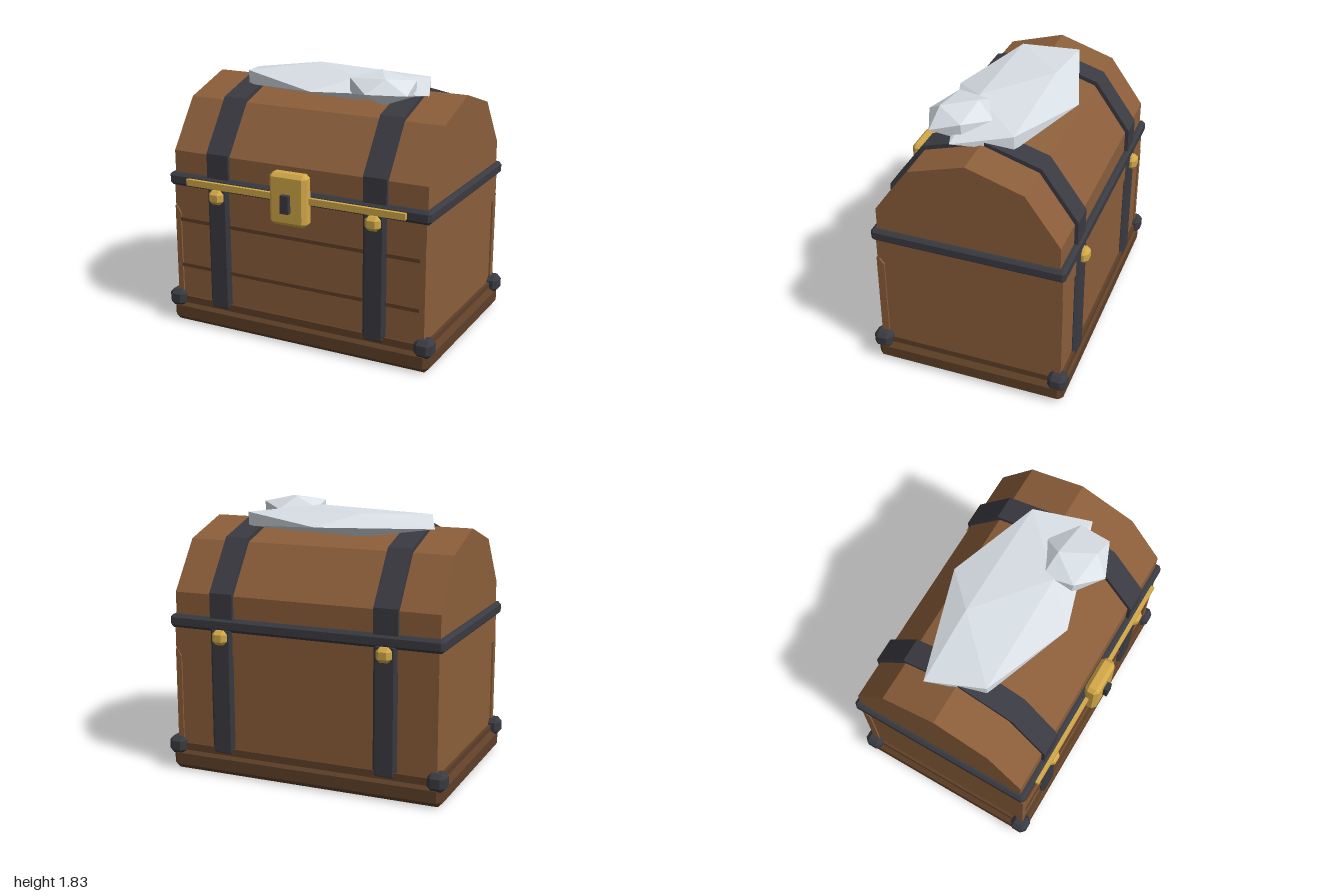
import * as THREE from 'three';
import { ConvexGeometry } from 'three/addons/geometries/ConvexGeometry.js';

const CZ = -0.035; // chest centre in depth

function mat(name, color) {
  const m = new THREE.MeshStandardMaterial({ color, flatShading: true });
  m.name = name;
  return m;
}

// Box given by its extents, with all edges chamfered by c
function chamferBox(x0, x1, y0, y1, z0, z1, c) {
  const h = [(x1 - x0) / 2, (y1 - y0) / 2, (z1 - z0) / 2];
  const pts = [];
  for (const sx of [-1, 1]) for (const sy of [-1, 1]) for (const sz of [-1, 1]) {
    for (let k = 0; k < 3; k++) {
      const d = h.map((v, i) => (i === k ? v : v - c));
      pts.push(new THREE.Vector3(sx * d[0], sy * d[1], sz * d[2]));
    }
  }
  return new ConvexGeometry(pts).translate((x0 + x1) / 2, (y0 + y1) / 2, (z0 + z1) / 2);
}

function box(x0, x1, y0, y1, z0, z1) {
  return new THREE.BoxGeometry(x1 - x0, y1 - y0, z1 - z0)
    .translate((x0 + x1) / 2, (y0 + y1) / 2, (z0 + z1) / 2);
}

// Faceted arch profile (half depth, height) extruded across x
function arch(half, x, width) {
  const s = new THREE.Shape();
  half.forEach(([z, y], i) => (i ? s.lineTo(-z, y) : s.moveTo(-z, y)));
  [...half].reverse().forEach(([z, y]) => { if (z > 0) s.lineTo(z, y); });
  const g = new THREE.ExtrudeGeometry(s, { depth: width, bevelEnabled: false });
  return g.rotateY(Math.PI / 2).translate(x - width / 2, 0, CZ);
}

// Twenty-sided lump whose poles lie along z
function lump(sx, sy, sz) {
  const pts = [new THREE.Vector3(0, 0, sz), new THREE.Vector3(0, 0, -sz)];
  for (const side of [-1, 1]) for (let i = 0; i < 5; i++) {
    const a = (i * 2 * Math.PI) / 5;
    pts.push(new THREE.Vector3(side * 0.8944 * Math.cos(a) * sx, 0.8944 * Math.sin(a) * sy, side * 0.4472 * sz));
  }
  return new ConvexGeometry(pts);
}

export function createModel() {
  const root = new THREE.Group();
  root.name = 'chest';
  const wood = mat('wood', 0x8b5e3a);
  const darkWood = mat('dark wood', 0x5f4028);
  const iron = mat('iron', 0x3a3a42);
  const gold = mat('gold', 0xd2a848);
  const snow = mat('snow', 0xd9e0e6);

  const add = (name, geo, m) => {
    const mesh = new THREE.Mesh(geo, m);
    mesh.name = name;
    root.add(mesh);
    return mesh;
  };

  // Stepped base
  add('base', chamferBox(-0.977, 0.977, 0, 0.15, -0.7, 0.632, 0.035), darkWood);
  add('baseMoulding', box(-0.945, 0.945, 0.14, 0.19, -0.685, 0.612), darkWood);

  // Body with corner posts that taper off below the rim
  add('body', box(-0.925, 0.925, 0.15, 1.02, -0.665, 0.593), wood);
  for (const sx of [-1, 1]) for (const sz of [-1, 1]) {
    const pts = [];
    for (const [y, w, d] of [[0.16, 0.04, 0.05], [0.8, 0.04, 0.05], [0.85, 0.008, 0.012]]) {
      for (const a of [0, 1]) for (const b of [0, 1]) {
        pts.push(new THREE.Vector3(sx * (0.938 - a * w), y, CZ + sz * (0.64 - b * d)));
      }
    }
    add('cornerPost', new ConvexGeometry(pts), wood);
    const z = CZ + sz * 0.623;
    add('cornerBlock', chamferBox(sx * 0.9375 - 0.0625, sx * 0.9375 + 0.0625, 0.11, 0.232, z - 0.0625, z + 0.0625, 0.03), iron);
  }
  add('upperBody', box(-0.937, 0.937, 0.845, 1.02, -0.672, 0.598), wood);

  // Thin slats across the front
  for (const y of [0.42, 0.755]) {
    add('frontSlat', box(-0.9, 0.9, y - 0.013, y + 0.013, 0.59, 0.604), darkWood);
  }

  // Rim and lid
  add('rim', chamferBox(-0.97, 0.97, 1.0, 1.09, -0.692, 0.622, 0.02), iron);
  add('lid', arch([[0.618, 1.05], [0.618, 1.24], [0.382, 1.57], [0, 1.69]], 0, 1.874), wood);

  // Straps and their clasps
  for (const sx of [-1, 1]) {
    const x = sx * 0.583;
    add('lidStrap', arch([[0.642, 1.05], [0.642, 1.255], [0.397, 1.597], [0, 1.715]], x, 0.165), iron);
    add('frontStrap', chamferBox(x - 0.0825, x + 0.0825, 0.14, 1.03, 0.55, 0.622, 0.022), iron);
    add('backStrap', chamferBox(x - 0.0825, x + 0.0825, 0.14, 1.03, -0.692, -0.62, 0.022), iron);
    add('frontClasp', chamferBox(x - 0.052, x + 0.052, 0.915, 1.013, 0.57, 0.665, 0.025), gold);
    add('backClasp', chamferBox(x - 0.052, x + 0.052, 0.915, 1.013, -0.735, -0.64, 0.025), gold);
  }

  // Gold bar, lock and keyhole
  add('goldBar', box(-0.81, 0.81, 1.022, 1.066, 0.6, 0.648), gold);
  add('lock', chamferBox(-0.135, 0.135, 0.87, 1.222, 0.6, 0.702, 0.025), gold);
  add('keyhole', box(-0.03, 0.03, 0.965, 1.087, 0.68, 0.735), iron);

  // Snow lying on the lid
  add('snowDrift', lump(0.83, 0.091, 0.415), snow).position.set(0, 1.698, -0.04);
  const small = add('snowLump', lump(0.262, 0.1, 0.228), snow);
  small.position.set(0.44, 1.738, 0.19);
  small.rotation.set(0.05, -0.1, -0.05);

  return root;
}
